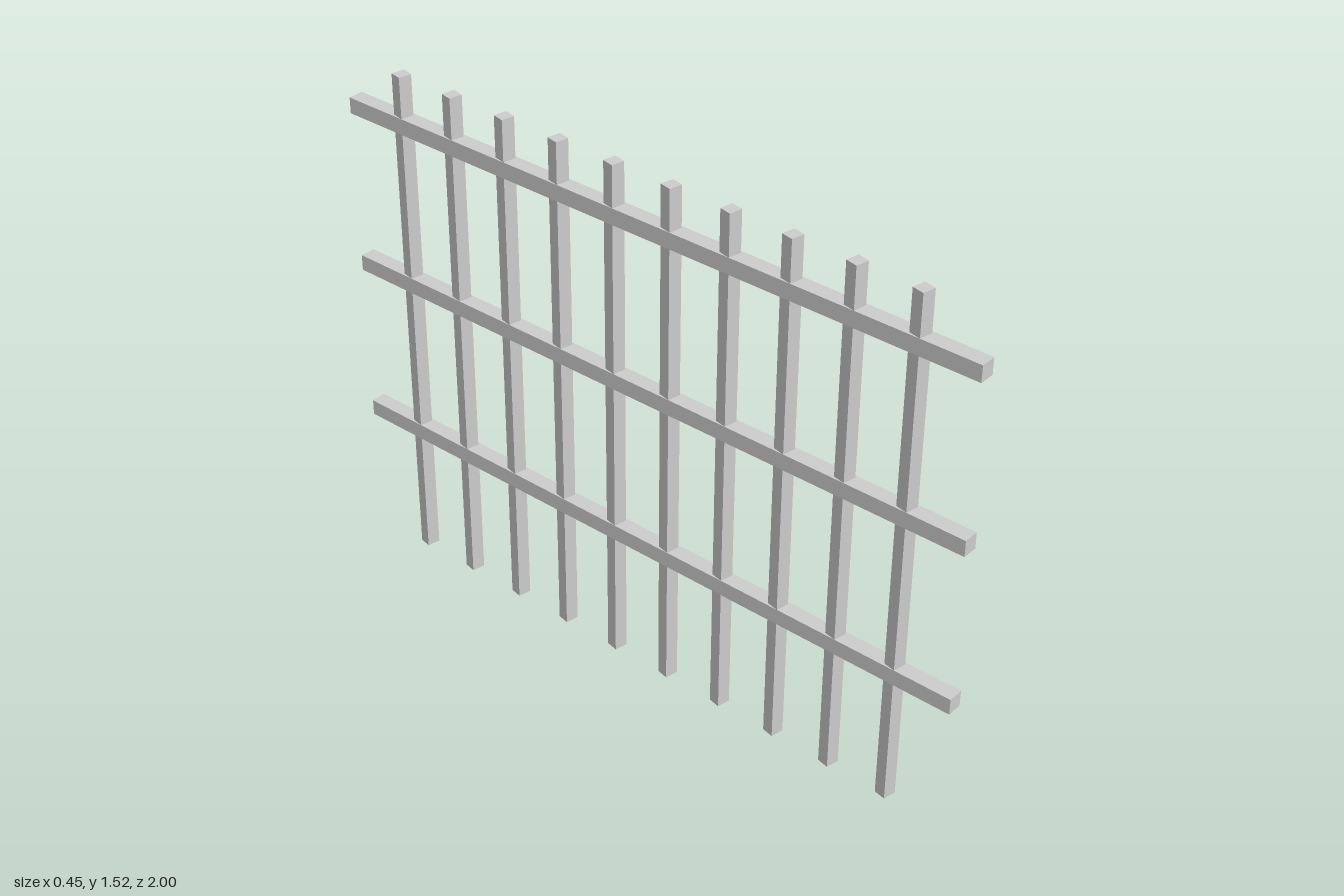
import * as THREE from 'three';

export function createModel() {
  const model = new THREE.Group();
  model.name = 'barredFence';

  const metal = new THREE.MeshStandardMaterial({ color: 0xcccccc });
  metal.name = 'lightGreyMetal';

  const postCount = 10, postHeight = 1.525, endZ = 0.815;
  const railWidth = 0.045, railHeight = 0.047, railLength = 2.031;
  const slope = 0.2035; // sideways shift per unit of z

  // Upright bars, square to the axes, stepping along the diagonal
  const postGeometry = new THREE.BoxGeometry(0.038, postHeight, 0.035);
  for (let i = 0; i < postCount; i++) {
    const z = -endZ + (2 * endZ * i) / (postCount - 1);
    const post = new THREE.Mesh(postGeometry, metal);
    post.name = `uprightBar${i + 1}`;
    post.position.set(z * slope, postHeight / 2, z);
    model.add(post);
  }

  // Three rails turned to follow the diagonal
  const railGeometry = new THREE.BoxGeometry(railWidth, railHeight, railLength);
  ['lowerRail', 'middleRail', 'upperRail'].forEach((name, i) => {
    const rail = new THREE.Mesh(railGeometry, metal);
    rail.name = name;
    rail.position.y = 0.408 + i * 0.487;
    rail.rotation.y = Math.atan(slope);
    model.add(rail);
  });

  return model;
}
